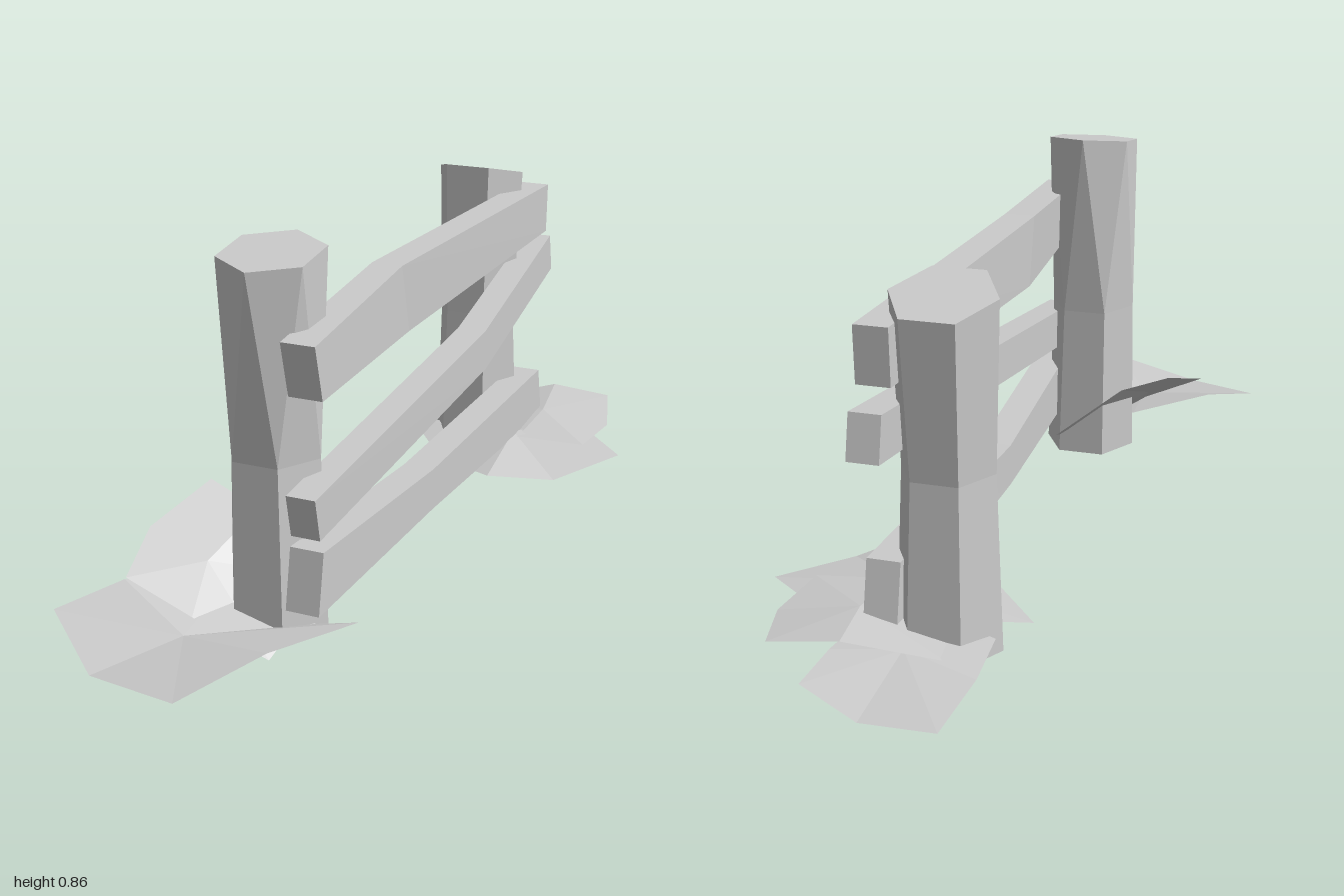
import * as THREE from 'three';

const grey = new THREE.MeshStandardMaterial({ color: 0xcccccc, flatShading: true });
const thin = new THREE.MeshStandardMaterial({ color: 0xcccccc, flatShading: true, side: THREE.DoubleSide });

function meshFromTriangles(name, points, material) {
  const geometry = new THREE.BufferGeometry().setFromPoints(points);
  geometry.computeVertexNormals();
  const mesh = new THREE.Mesh(geometry, material);
  mesh.name = name;
  return mesh;
}

// Closed solid through a series of rings with equal point counts
function loft(name, rings) {
  const tris = [];
  const n = rings[0].length;
  for (let r = 0; r < rings.length - 1; r++) {
    for (let i = 0; i < n; i++) {
      const j = (i + 1) % n;
      const a = rings[r][i], b = rings[r][j];
      const c = rings[r + 1][i], d = rings[r + 1][j];
      tris.push(a, c, b, b, c, d);
    }
  }
  const first = rings[0], last = rings[rings.length - 1];
  for (let i = 1; i < n - 1; i++) {
    tris.push(first[0], first[i], first[i + 1]);
    tris.push(last[0], last[i + 1], last[i]);
  }
  return meshFromTriangles(name, tris, grey);
}

// Hexagonal ring; slope tilts it along z
function hexRing(x, y, z, radius, turn = 0, slope = 0) {
  return Array.from({ length: 6 }, (_, i) => {
    const a = (i * Math.PI) / 3 + turn;
    const dz = Math.sin(a) * radius;
    return new THREE.Vector3(x + Math.cos(a) * radius, y + dz * slope, z + dz);
  });
}

// Rail through rectangular sections [x0, x1, yBottom, yTop, zBottom, zTop], back to front
function rail(name, sections) {
  return loft(name, sections.map(([x0, x1, yb, yt, zb, zt]) => [
    new THREE.Vector3(x1, yt, zt),
    new THREE.Vector3(x1, yb, zb),
    new THREE.Vector3(x0, yb, zb),
    new THREE.Vector3(x0, yt, zt),
  ]));
}

// Thin folded leaf: a fan from a hub to its rim
function leaf(name, hub, rim) {
  const h = new THREE.Vector3(...hub);
  const p = rim.map((v) => new THREE.Vector3(...v));
  const tris = p.flatMap((v, i) => [h, v, p[(i + 1) % p.length]]);
  return meshFromTriangles(name, tris, thin);
}

export function createModel() {
  const group = new THREE.Group();
  group.name = 'fence';

  // Posts, with sloping tops
  group.add(
    loft('frontPost', [
      hexRing(-0.02, 0.035, 0.51, 0.115),
      hexRing(-0.025, 0.42, 0.505, 0.105),
      hexRing(-0.02, 0.85, 0.512, 0.113, Math.PI / 6, -0.145),
    ]),
    loft('backPost', [
      hexRing(-0.02, 0.035, -0.64, 0.115),
      hexRing(-0.02, 0.42, -0.63, 0.1),
      hexRing(-0.02, 0.785, -0.643, 0.113, 0, 0.25),
    ]),
  );

  // Rails, each bent in the middle
  group.add(
    rail('topRail', [
      [0.06, 0.133, 0.615, 0.738, -0.725, -0.73],
      [0.028, 0.1, 0.577, 0.737, 0.1, 0.14],
      [0.057, 0.133, 0.583, 0.705, 0.6, 0.63],
    ]),
    rail('middleRail', [
      [0.055, 0.123, 0.49, 0.585, -0.81, -0.79],
      [0.085, 0.155, 0.388, 0.485, -0.24, -0.23],
      [0.057, 0.123, 0.282, 0.378, 0.6, 0.62],
    ]),
    rail('bottomRail', [
      [0.06, 0.133, 0.1, 0.235, -0.73, -0.7],
      [0.045, 0.12, 0.11, 0.21, 0, 0],
      [0.057, 0.133, 0.127, 0.26, 0.63, 0.605],
    ]),
  );

  // Leaves around the front post
  group.add(
    leaf('frontLeaf', [-0.115, 0.09, 0.75], [
      [0.01, 0.098, 1.0], [-0.22, 0.07, 0.935], [-0.405, 0.105, 0.785], [-0.31, 0.137, 0.66],
      [-0.13, 0.11, 0.54], [0.08, 0.058, 0.54], [0.175, 0.077, 0.53], [0.105, 0.125, 0.8],
    ]),
    leaf('frontUprightLeaf', [-0.165, 0.165, 0.56], [
      [-0.25, 0.273, 0.39], [-0.305, 0.218, 0.56], [-0.28, 0.165, 0.7], [-0.13, 0.1, 0.69],
      [0.015, 0.002, 0.63], [0.04, 0.085, 0.39], [-0.13, 0.225, 0.395],
    ]),
  );

  // Leaves around the back post
  group.add(
    leaf('backLeaf', [0.02, 0.1, -0.8], [
      [0.04, 0.05, -1.0], [-0.12, 0.055, -1.0], [-0.145, 0.085, -0.845], [-0.13, 0.08, -0.675],
      [0.03, 0.09, -0.62], [0.14, 0.1, -0.7], [0.16, 0.1, -0.84], [0.18, 0.078, -0.945],
    ]),
    leaf('backSideLeaf', [0.15, 0.125, -0.7], [
      [-0.07, 0.09, -0.805], [0.125, 0.138, -0.87], [0.275, 0.122, -0.885], [0.325, 0.1, -0.72],
      [0.31, 0.1, -0.555], [0.14, 0.105, -0.53], [-0.02, 0.09, -0.62],
    ]),
    leaf('backInnerLeaf', [0.12, 0.11, -0.55], [
      [0.155, 0.098, -0.265], [0.29, 0.065, -0.38], [0.405, 0.085, -0.56], [0.245, 0.105, -0.7],
      [0.04, 0.09, -0.66], [-0.185, 0.08, -0.59], [-0.02, 0.07, -0.385],
    ]),
  );

  return group;
}
